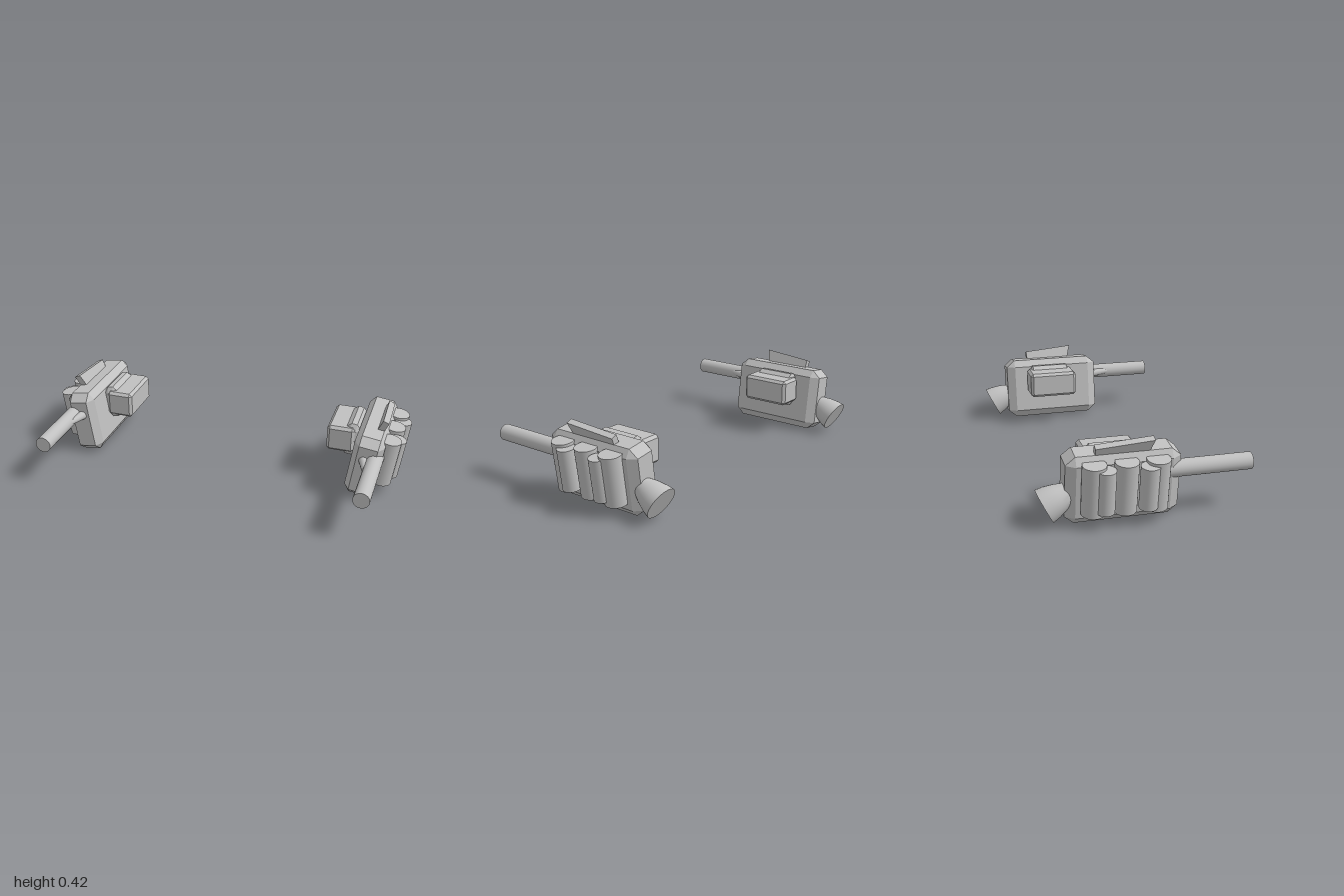
import * as THREE from 'three';
import { toCreasedNormals } from 'three/addons/utils/BufferGeometryUtils.js';
import { ConvexGeometry } from 'three/addons/geometries/ConvexGeometry.js';

const TILT = THREE.MathUtils.degToRad(8);
const UP = new THREE.Vector3(0, 1, 0);

// Box with chamfered edges: each face is inset by the bevels of the other two axes
function chamferBox(w, h, d, bx, by, bz) {
  const pts = [];
  for (const i of [-1, 1]) for (const j of [-1, 1]) for (const k of [-1, 1]) {
    const x = w / 2, y = h / 2, z = d / 2;
    pts.push(
      new THREE.Vector3(i * x, j * (y - by), k * (z - bz)),
      new THREE.Vector3(i * (x - bx), j * y, k * (z - bz)),
      new THREE.Vector3(i * (x - bx), j * (y - by), k * z));
  }
  return new ConvexGeometry(pts);
}

export function createModel() {
  const model = new THREE.Group();
  model.name = 'podPair';
  const grey = new THREE.MeshStandardMaterial({ color: 0xc0c0c0 });
  grey.name = 'plainGrey';

  const add = (parent, name, geometry, x, y, z) => {
    const mesh = new THREE.Mesh(geometry, grey);
    mesh.name = name;
    mesh.position.set(x, y, z);
    parent.add(mesh);
    return mesh;
  };

  // Bell nozzle profile, closed at both ends
  const nozzle = toCreasedNormals(new THREE.LatheGeometry(
    [[0, -0.05], [0.03, -0.05], [0.05, 0], [0.068, 0.04], [0.083, 0.09], [0.089, 0.128], [0, 0.128]]
      .map(([r, y]) => new THREE.Vector2(r, y)), 32), 0.6);

  // Fin side profile, drawn as (z, y) and extruded along x
  const finShape = new THREE.Shape([[0.026, 0.09], [0.0, 0], [-0.255, 0], [-0.258, 0.066]]
    .map(([z, y]) => new THREE.Vector2(-z, y)));
  const fin = new THREE.ExtrudeGeometry(finShape, { depth: 0.034, bevelEnabled: false });
  fin.translate(0, 0, -0.017);
  fin.rotateY(Math.PI / 2);

  for (const s of [1, -1]) {
    const pod = new THREE.Group();
    pod.name = s > 0 ? 'leftPod' : 'rightPod';
    model.add(pod);

    // Body and everything leaning outward with it
    const lean = new THREE.Group();
    lean.name = 'leaningBody';
    lean.position.set(s * 0.805, 0.183, -0.117);
    lean.rotation.z = -s * TILT;
    pod.add(lean);
    add(lean, 'body', chamferBox(0.16, 0.354, 0.56, 0.03, 0.04, 0.047), 0, 0, 0);
    add(lean, 'mountPlate', chamferBox(0.1, 0.19, 0.25, 0.035, 0.035, 0.02), -s * 0.112, 0.05, -0.023);

    // Canisters on the outer face: three large, two small in front of the gaps
    for (const z of [0.155, 0.002, -0.153]) {
      add(lean, 'largeCanister', new THREE.CylinderGeometry(0.058, 0.058, 0.258, 32), s * 0.095, 0.0255, z);
    }
    for (const z of [0.105, -0.103]) {
      add(lean, 'smallCanister', new THREE.CylinderGeometry(0.046, 0.046, 0.22, 32), s * 0.13, 0.03, z);
    }

    // Upright block on the inner side
    add(pod, 'innerBlock', chamferBox(0.15, 0.146, 0.28, 0.015, 0.015, 0.015), s * 0.647, 0.252, -0.14);

    // Barrel and the tapered brace beside it
    add(pod, 'barrel', new THREE.CylinderGeometry(0.043, 0.043, 0.44, 32), s * 0.858, 0.24, 0.305)
      .rotation.x = Math.PI / 2;
    const brace = add(pod, 'barrelBrace', new THREE.CylinderGeometry(0.012, 0.03, 0.2, 20), s * 0.814, 0.243, 0.2);
    brace.quaternion.setFromUnitVectors(UP, new THREE.Vector3(s * 0.26, 0, 1).normalize());

    // Rear nozzle pointing back and down
    add(pod, 'nozzle', nozzle, s * 0.817, 0.155, -0.373)
      .quaternion.setFromUnitVectors(UP, new THREE.Vector3(0, -0.46, -0.889).normalize());

    // Top fin leaning further outward
    add(pod, 'topFin', fin, s * 0.852, 0.33, 0)
      .rotation.z = -s * 0.4;
  }
  return model;
}
